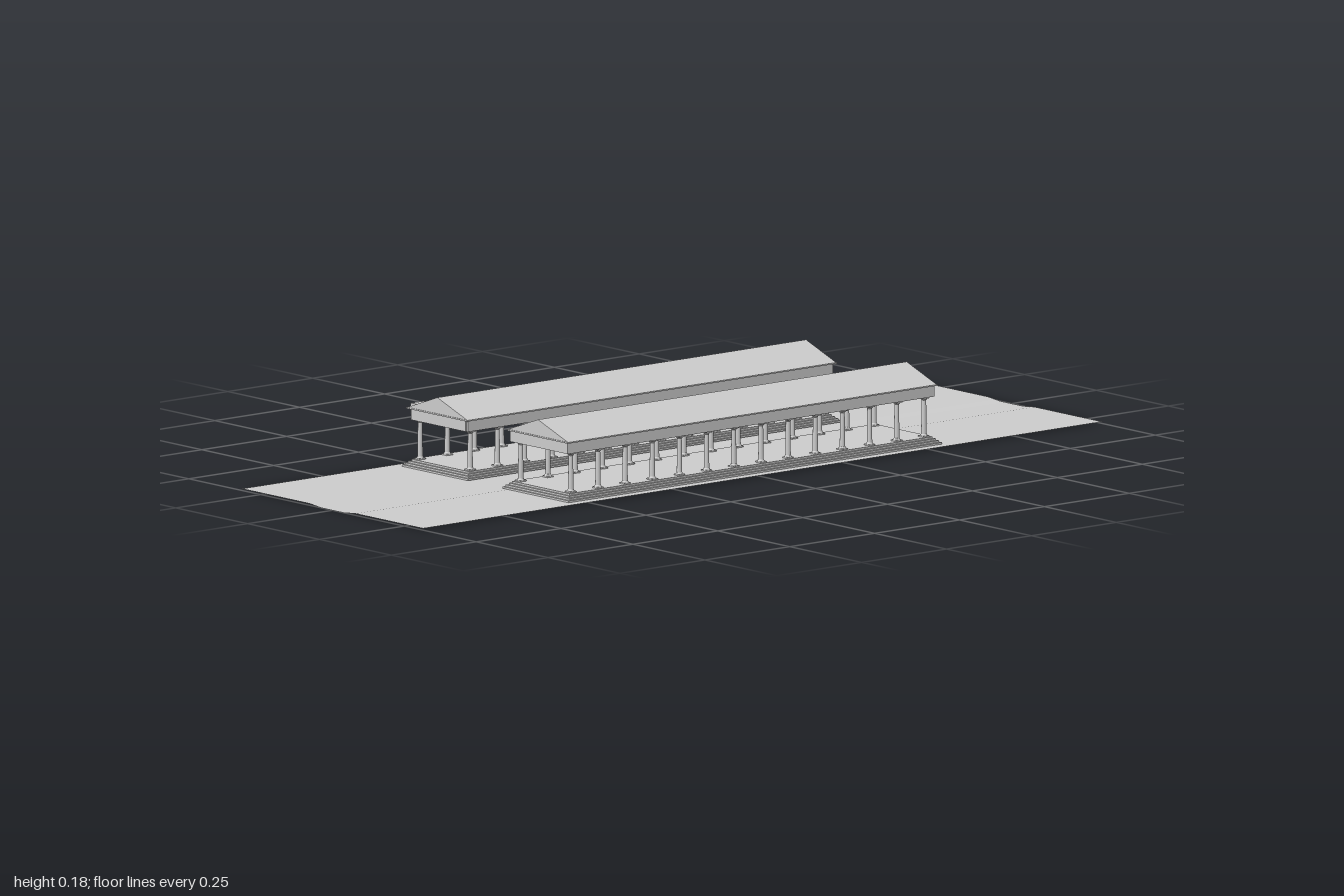
import * as THREE from 'three';

const grey = new THREE.MeshStandardMaterial({ color: 0xcccccc });
const greyBoth = new THREE.MeshStandardMaterial({ color: 0xcccccc, side: THREE.DoubleSide });
const GROUND = 0.004, FLOOR = 0.021, BEAM_Y = 0.112, EAVE = 0.137, RIDGE = 0.177;

function add(parent, name, geometry, x = 0, y = 0, z = 0, material = grey) {
  const mesh = new THREE.Mesh(geometry, material);
  mesh.name = name;
  mesh.position.set(x, y, z);
  parent.add(mesh);
  return mesh;
}

// box given by its bottom height
function block(parent, name, w, h, d, x, y, z) {
  return add(parent, name, new THREE.BoxGeometry(w, h, d), x, y + h / 2, z);
}

// round shaft with slight taper
const shaftGeometry = new THREE.CylinderGeometry(0.0052, 0.0062, 0.082, 16);
const torusBase = new THREE.CylinderGeometry(0.0066, 0.0085, 0.004, 16);
const echinus = new THREE.CylinderGeometry(0.0085, 0.0055, 0.004, 16);

function column(parent, x, z) {
  const c = new THREE.Group();
  c.name = 'column';
  c.position.set(x, FLOOR, z);
  block(c, 'plinth', 0.018, 0.003, 0.018, 0, 0, 0);
  add(c, 'columnBase', torusBase, 0, 0.005, 0);
  add(c, 'shaft', shaftGeometry, 0, 0.045, 0);
  add(c, 'capital', echinus, 0, 0.086, 0);
  block(c, 'abacus', 0.018, 0.003, 0.018, 0, 0.088, 0);
  parent.add(c);
}

function stoa(name, x, outer, tilt) {
  const g = new THREE.Group();
  g.name = name;
  g.position.x = x;

  // stepped platform
  const steps = 4, rise = (FLOOR - GROUND) / steps;
  for (let i = 0; i < steps; i++) {
    block(g, 'step', 0.23 - i * 0.01, rise, 1.1 - i * 0.01, 0, GROUND + i * rise, 0);
  }

  // two rows of columns
  for (let i = 0; i < 14; i++) {
    const z = -0.52 + i * 0.08;
    column(g, -0.087, z);
    column(g, 0.087, z);
  }

  // ring of beams, the outer one may lean along its length
  const h = EAVE - BEAM_Y;
  for (const s of [-1, 1]) {
    const beam = block(g, 'sideBeam', 0.025, h, 1.075, s * 0.0875, BEAM_Y, 0);
    if (s === outer) {
      beam.rotation.x = -tilt;
      if (tilt) beam.position.y += 0.003;
    }
    block(g, 'endBeam', tilt ? 0.19 : 0.2, h, 0.025, 0, BEAM_Y, s * 0.5275);
  }

  // cornice and gabled roof
  block(g, 'cornice', 0.212, 0.003, 1.09, 0, EAVE, 0);
  const gable = new THREE.Shape();
  gable.moveTo(-0.104, EAVE + 0.003);
  gable.lineTo(0.104, EAVE + 0.003);
  gable.lineTo(0, RIDGE);
  const roof = new THREE.ExtrudeGeometry(gable, { depth: 1.086, bevelEnabled: false });
  add(g, 'roof', roof, 0, 0, -0.543);
  return g;
}

// thin ground sheet with a shallow lane along the middle
function ground() {
  const xs = [-0.315, -0.08, -0.04, 0.04, 0.08, 0.315];
  const geometry = new THREE.PlaneGeometry(1, 2, xs.length - 1, 1).rotateX(-Math.PI / 2);
  const p = geometry.attributes.position;
  for (let i = 0; i < p.count; i++) {
    const x = xs[i % xs.length];
    p.setX(i, x);
    p.setY(i, Math.abs(x) > 0.05 ? GROUND : 0);
  }
  geometry.computeVertexNormals();
  return geometry;
}

export function createModel() {
  const model = new THREE.Group();
  model.name = 'twinColonnades';
  add(model, 'ground', ground(), 0, 0, 0, greyBoth);
  model.add(stoa('rightColonnade', -0.175, -1, 0.018));
  model.add(stoa('leftColonnade', 0.175, 1, 0));
  return model;
}
